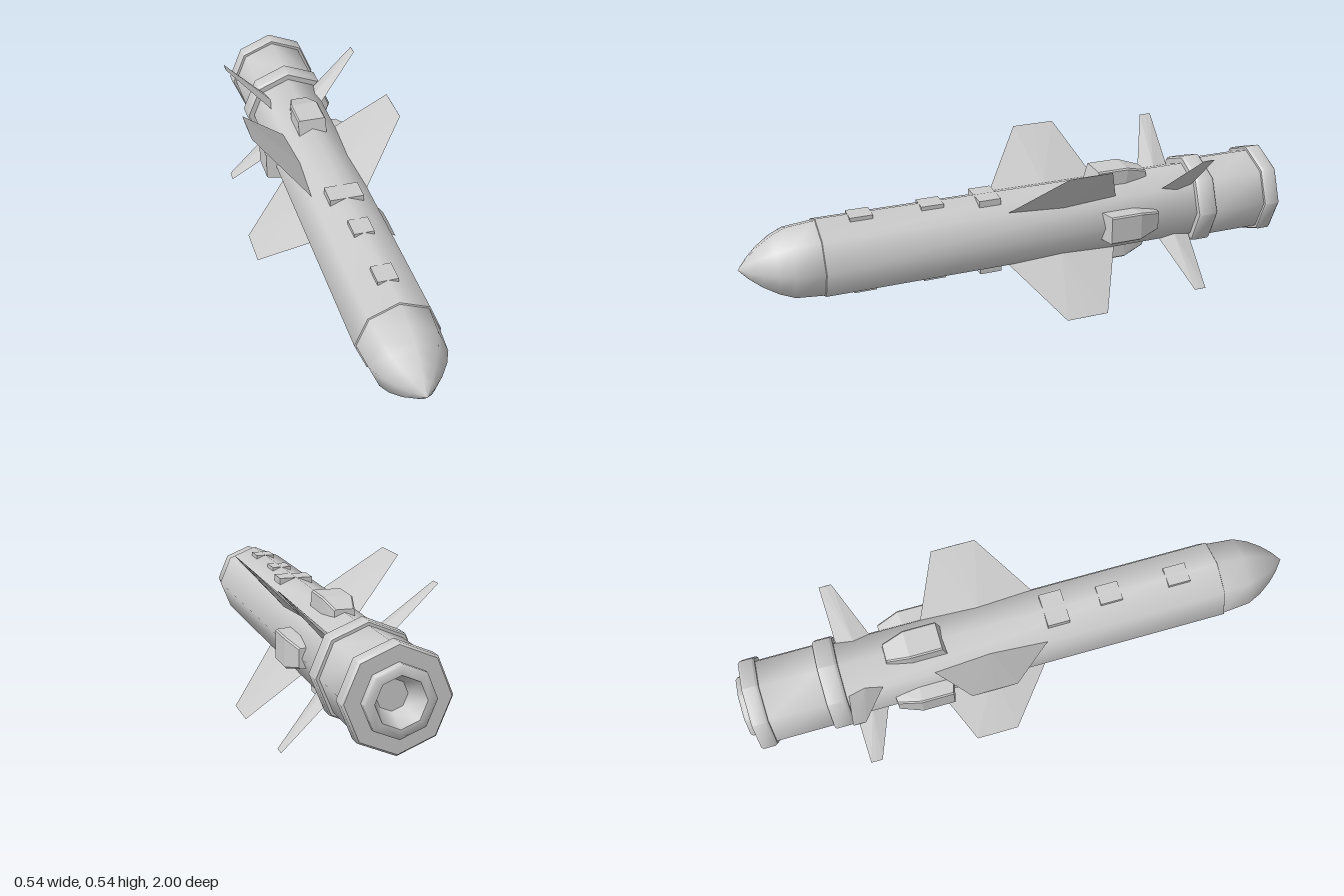
import * as THREE from 'three';
import { toCreasedNormals } from 'three/addons/utils/BufferGeometryUtils.js';
import { ConvexGeometry } from 'three/addons/geometries/ConvexGeometry.js';

const grey = new THREE.MeshStandardMaterial({ color: 0xcccccc });
grey.name = 'lightGrey';

const V = (x, y, z) => new THREE.Vector3(x, y, z);

// Eight-sided turned part; profile is [radius, z] from back to front
function turned(name, profile) {
  const g = new THREE.LatheGeometry(profile.map(([r, z]) => new THREE.Vector2(r, z)), 8);
  g.rotateX(Math.PI / 2);
  const m = new THREE.Mesh(toCreasedNormals(g, 0.87), grey);
  m.name = name;
  return m;
}

// Tapered fin of diamond section, pointing along +y
function finGeometry(rootFront, rootBack, tipFront, tipBack, tip) {
  const root = 0.13, t = 0.012, mid = (rootFront + rootBack) / 2;
  return new ConvexGeometry([
    V(0, root, rootFront), V(0, root, rootBack), V(t, root, mid), V(-t, root, mid),
    V(0, tip, tipFront), V(0, tip, tipBack),
    V(0.001, tip, (tipFront + tipBack) / 2), V(-0.001, tip, (tipFront + tipBack) / 2),
  ]);
}

// Boxy fairing with small edge bevels and a tapered tail, on the +y side
function podGeometry() {
  const pts = [];
  // z at the base, z at the top, half width, height
  for (const [zb, zt, w, h] of [[-0.265, -0.285, 0.052, 0.177], [-0.39, -0.4, 0.052, 0.177], [-0.485, -0.48, 0.034, 0.152]]) {
    for (const s of [-1, 1]) {
      pts.push(V(s * w, 0.1, zb), V(s * w, h - 0.005, zt), V(s * (w - 0.005), h, zt));
    }
  }
  return new ConvexGeometry(pts);
}

export function createModel() {
  const model = new THREE.Group();
  const axis = new THREE.Group();
  axis.name = 'airframe';
  axis.position.y = 0.27;
  model.add(axis);

  axis.add(turned('body', [[0.142, -0.66], [0.143, 0.73], [0.138, 0.732]]));
  axis.add(turned('nose', [
    [0.138, 0.73], [0.129, 0.83], [0.107, 0.88], [0.073, 0.93], [0.038, 0.968], [0, 1],
  ]));

  // Booster with two raised bands and a hollow nozzle
  axis.add(turned('booster', [
    [0.09, -0.975], [0.163, -0.975], [0.17, -0.967], [0.17, -0.925], [0.165, -0.917], [0.155, -0.917],
    [0.155, -0.713], [0.165, -0.713], [0.17, -0.706], [0.17, -0.652], [0.163, -0.643], [0.13, -0.643],
  ]));
  axis.add(turned('nozzle', [
    [0, -0.92], [0.05, -0.92], [0.08, -1], [0.105, -1], [0.113, -0.992], [0.113, -0.97],
  ]));

  // Four wings and four tail fins on the diagonals, four fairings between them
  const wing = finGeometry(0.085, -0.335, -0.08, -0.235, 0.381);
  const tail = finGeometry(-0.51, -0.635, -0.592, -0.635, 0.358);
  const pod = podGeometry();
  for (let i = 0; i < 4; i++) {
    for (const [name, geo, offset] of [['wing', wing, 0.5], ['tailFin', tail, 0.5], ['fairing', pod, 0]]) {
      const m = new THREE.Mesh(geo, grey);
      m.name = name;
      m.rotation.z = (i + offset) * Math.PI / 2;
      axis.add(m);
    }
  }

  // Access panels along the upper and lower ridges
  for (const side of [-1, 1]) {
    for (const [z, halfWidth, top] of [[0.13, 0.06, 0.141], [0.33, 0.035, 0.142], [0.58, 0.035, 0.142]]) {
      const m = new THREE.Mesh(new THREE.BoxGeometry(halfWidth * 2, 0.04, 0.08), grey);
      m.name = 'accessPanel';
      m.position.set(0, side * (top - 0.02), z);
      axis.add(m);
    }
  }
  return model;
}
